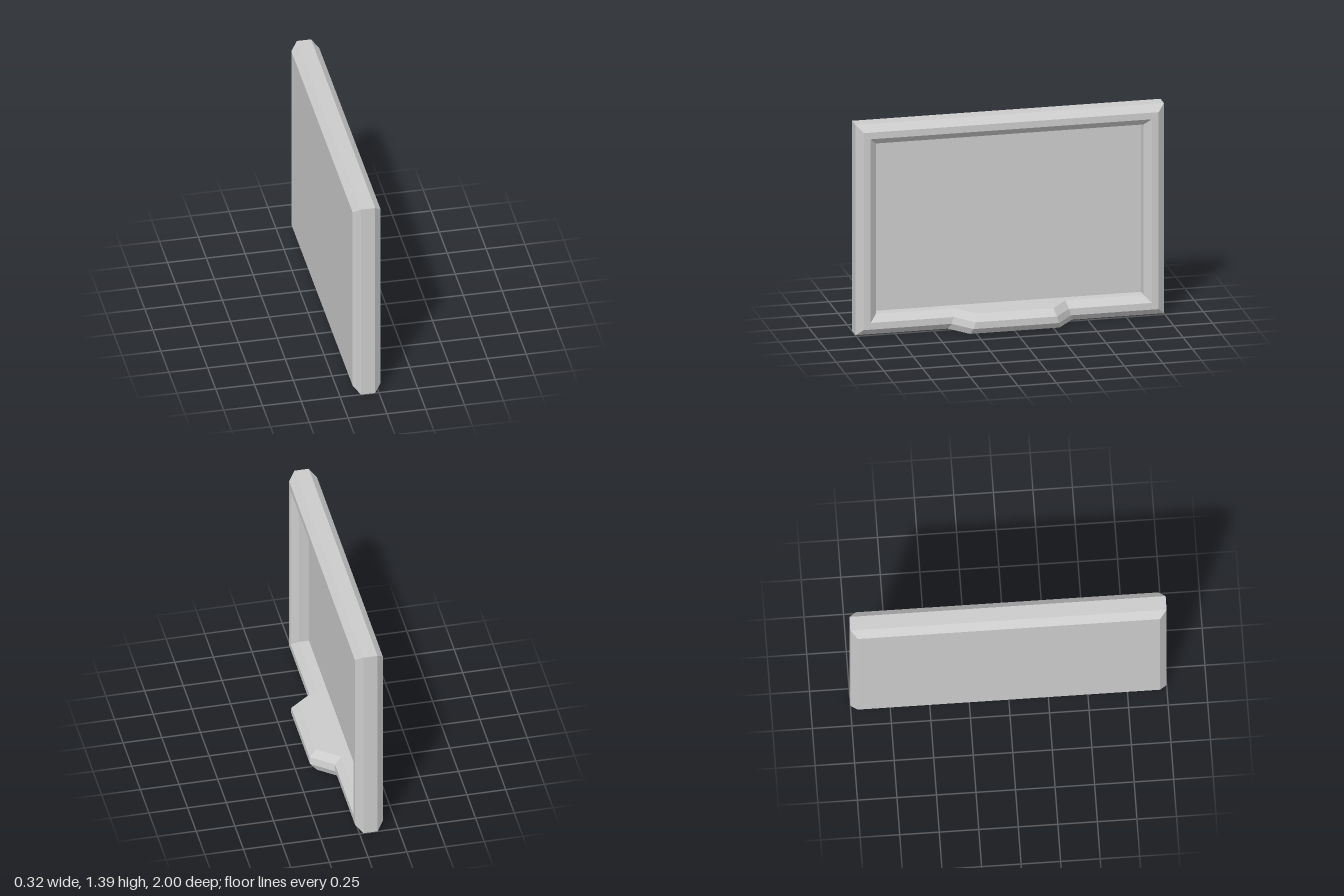
import * as THREE from 'three';

const HEIGHT = 1.39, HALF = 1, BEVEL = 0.044;
const BACK = -0.16, FRONT = 0.02, PANEL = -0.088, LIP = 0.16;

// Flat-faced mesh from four-cornered faces
function quadMesh(name, quads, material) {
  const pos = [];
  for (const [a, b, c, d] of quads) pos.push(...a, ...b, ...c, ...a, ...c, ...d);
  const geometry = new THREE.BufferGeometry();
  geometry.setAttribute('position', new THREE.Float32BufferAttribute(pos, 3));
  geometry.computeVertexNormals();
  const mesh = new THREE.Mesh(geometry, material);
  mesh.name = name;
  return mesh;
}

// Quads joining successive loops of points
function bridge(loops, closed) {
  const quads = [], n = loops[0].length;
  for (let i = 0; i < loops.length - 1; i++) {
    for (let j = 0; j < (closed ? n : n - 1); j++) {
      const k = (j + 1) % n;
      quads.push([loops[i][j], loops[i][k], loops[i + 1][k], loops[i + 1][j]]);
    }
  }
  return quads;
}

// Upright rectangle at depth x, shrunk by an inset
function rectangle(x, inset) {
  const z = HALF - inset, y = HEIGHT - inset;
  return [[x, inset, z], [x, inset, -z], [x, y, -z], [x, y, z]];
}

export function createModel() {
  const group = new THREE.Group();
  group.name = 'framedBoard';
  const material = new THREE.MeshStandardMaterial({ color: 0xcccccc, flatShading: true });

  // Bevelled frame, from the back edge round to the recessed panel
  const loops = [
    [BACK, BEVEL], [BACK + BEVEL, 0], [FRONT - BEVEL, 0], [FRONT, BEVEL],
    [FRONT, 2 * BEVEL], [FRONT - BEVEL, 3 * BEVEL], [PANEL, 3 * BEVEL],
  ].map(([x, inset]) => rectangle(x, inset));
  group.add(quadMesh('frame', bridge(loops, true), material));

  // Back cover and recessed face
  group.add(quadMesh('backCover', [[...loops[0]].reverse()], material));
  group.add(quadMesh('boardFace', [loops[loops.length - 1]], material));

  // Tray: the bottom rail's profile pushed forward between splayed ends
  const section = (x, z, side) => [
    [x - BEVEL, 3 * BEVEL], [x, 2 * BEVEL], [x, BEVEL], [x - BEVEL, 0],
  ].map(([px, y]) => [px, y, side * (z + 0.31 * (3 * BEVEL - y))]);
  const stations = [
    section(FRONT, 0.36, 1), section(LIP, 0.25, 1),
    section(LIP, 0.25, -1), section(FRONT, 0.36, -1),
  ];
  const trayTop = stations.map((s) => s[0]);
  const trayBottom = stations.map((s) => s[3]).reverse();
  group.add(quadMesh('tray', [...bridge(stations, false), trayTop, trayBottom], material));

  return group;
}
